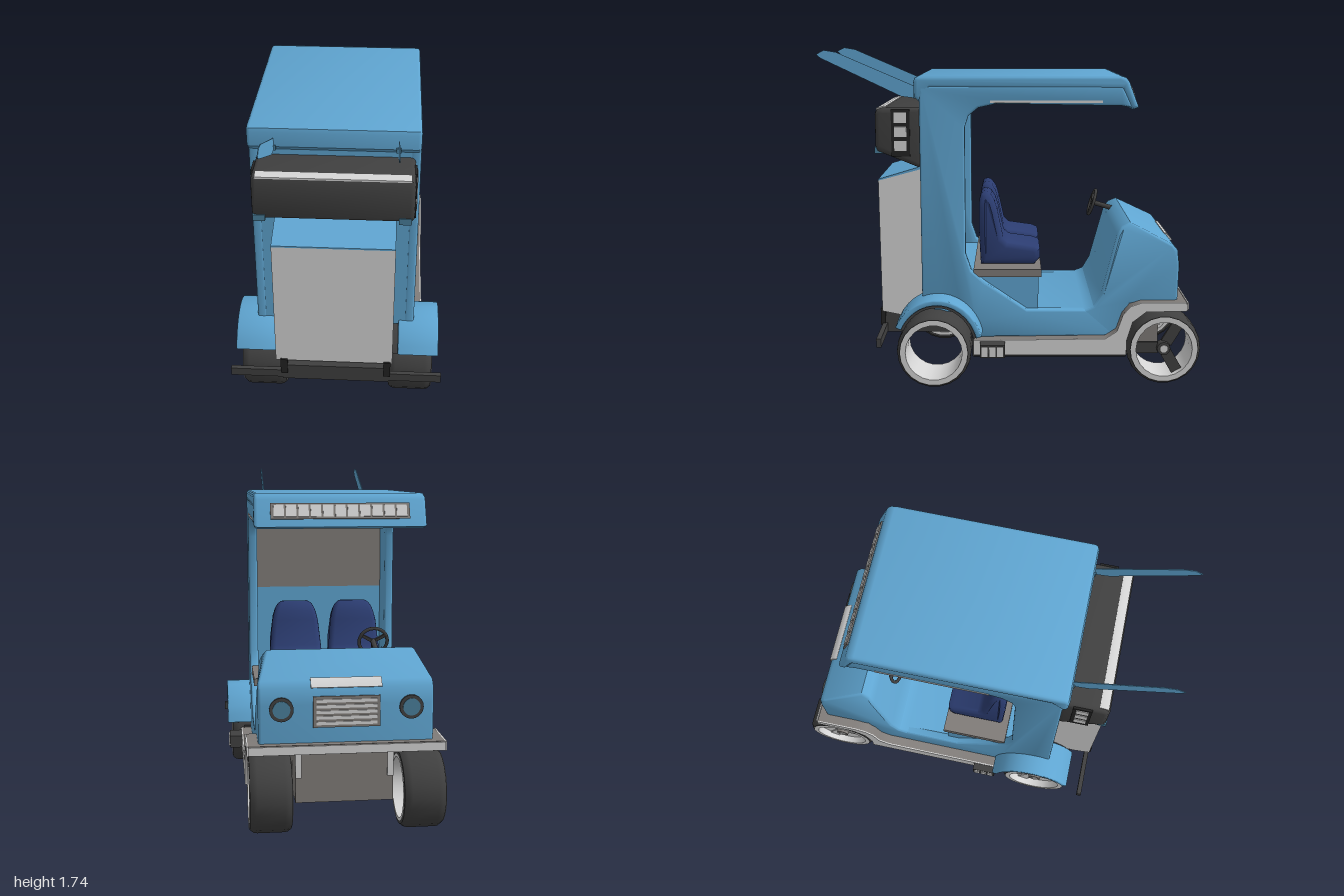
import * as THREE from 'three';
import { toCreasedNormals } from 'three/addons/utils/BufferGeometryUtils.js';

const mat = (name, color, side = THREE.FrontSide) => {
  const m = new THREE.MeshStandardMaterial({ color, side });
  m.name = name;
  return m;
};

export function createModel() {
  const blue = mat('bodyBlue', 0x5fa5d1);
  const light = mat('lightGrey', 0xd5d5d5, THREE.DoubleSide);
  const grey = mat('midGrey', 0x807c79);
  const dark = mat('darkGrey', 0x404040);
  const black = mat('undersideBlack', 0x232323);
  const navy = mat('seatNavy', 0x2b3c70);
  const lens = mat('lampLens', 0x4a7f9c);

  const model = new THREE.Group();
  model.name = 'utilityCart';
  const body = new THREE.Group();
  body.name = 'cart';
  body.position.x = -0.02;
  model.add(body);
  // the rear running gear sits slightly off the body's centre line
  const rear = new THREE.Group();
  rear.name = 'rearGear';
  rear.position.x = 0.013;
  body.add(rear);

  const add = (name, geo, material, parent = body) => {
    const m = new THREE.Mesh(geo, material);
    m.name = name;
    parent.add(m);
    return m;
  };
  // side profile of [z, y] points, extruded from x0 to x1
  const profile = (pts, x0, x1, bevel = 0, bend = null) => {
    const shape = new THREE.Shape(pts.map(p => new THREE.Vector2(p[0], p[1])));
    const geo = new THREE.ExtrudeGeometry(shape, {
      depth: x1 - x0 - 2 * bevel, bevelEnabled: bevel > 0, bevelSize: bevel,
      bevelThickness: bevel, bevelOffset: -bevel, bevelSegments: 3,
    });
    geo.translate(0, 0, bevel - (x1 - x0) / 2).rotateY(-Math.PI / 2).translate((x0 + x1) / 2, 0, 0);
    if (bend) {
      const p = geo.attributes.position;
      for (let i = 0; i < p.count; i++) p.setX(i, bend(p.getX(i), p.getY(i)));
    }
    return toCreasedNormals(geo, 0.7);
  };
  const box = (x0, x1, y0, y1, z0, z1) => new THREE.BoxGeometry(x1 - x0, y1 - y0, z1 - z0)
    .translate((x0 + x1) / 2, (y0 + y1) / 2, (z0 + z1) / 2);

  // Side panels: sill, rear pillar and roof rail in one piece
  const side = [[0.47, 0.46], [0.47, 1.57], [-0.56, 1.57], [-0.61, 1.46], [-0.56, 1.47], [0.08, 1.48],
    [0.17, 1.46], [0.22, 1.42], [0.24, 1.36], [0.24, 0.7], [0.21, 0.61], [0.14, 0.55], [-0.08, 0.4],
    [-0.4, 0.4], [-0.55, 0.26], [0.18, 0.25], [0.2, 0.33], [0.28, 0.43], [0.38, 0.47]];
  add('leftSidePanel', profile(side, 0.37, 0.42, 0.012), blue);
  add('rightSidePanel', profile(side, -0.42, -0.37, 0.012), blue);

  // Floor flowing up into dashboard and hood, narrowed towards the top
  add('hoodAndFloor', profile([[0.15, 0.25], [0.15, 0.39], [-0.38, 0.4], [-0.43, 0.42], [-0.47, 0.49],
    [-0.55, 0.8], [-0.575, 0.84], [-0.62, 0.86], [-0.84, 0.75], [-0.865, 0.72], [-0.875, 0.64],
    [-0.87, 0.43], [-0.62, 0.43], [-0.55, 0.26]], -0.42, 0.42, 0.015,
    (x, y) => x * (1 - 1.1 * Math.max(0, y - 0.75))), blue);

  // Rear wall with its inner window panel
  add('rearWall', box(-0.38, 0.38, 0.45, 1.56, 0.41, 0.468), blue);
  add('rearWindow', box(-0.37, 0.37, 1.05, 1.45, 0.403, 0.41), grey);

  // Roof
  add('roof', profile([[0.47, 1.49], [0.495, 1.515], [0.497, 1.59], [0.49, 1.61], [0.47, 1.62], [-0.55, 1.62],
    [-0.58, 1.61], [-0.595, 1.59], [-0.645, 1.46], [-0.61, 1.45], [-0.56, 1.55], [0.41, 1.56]],
    -0.425, 0.42, 0.018), blue);
  for (const s of [-1, 1]) add('roofTrim', box(s * 0.42 - 0.003, s * 0.42 + 0.003, 1.485, 1.497, -0.46, 0.11), light);

  // Slotted light bar on the roof's front edge
  const bar = new THREE.Group();
  bar.name = 'roofLightBar';
  bar.position.set(0, 1.535, -0.619);
  bar.rotation.x = 0.37;
  body.add(bar);
  add('barFrame', box(-0.34, 0.34, -0.04, 0.04, -0.004, 0.004), grey, bar);
  for (let i = 0; i < 11; i++) {
    const x = (i - 5) * 0.06;
    add('barLamp', box(x - 0.025, x + 0.025, -0.03, 0.03, -0.008, -0.003), light, bar);
  }

  // Raised thin support blades behind the roof, on small hinges
  for (const x of [-0.295, 0.31]) {
    add('rearBlade', profile([[0.49, 1.5], [0.47, 1.55], [0.9, 1.735], [0.96, 1.745], [1, 1.725],
      [0.98, 1.705], [0.57, 1.51]], x - 0.002, x + 0.002), blue);
    add('bladeHinge', box(x - 0.012, x + 0.012, 1.5, 1.525, 0.48, 0.505), lens);
  }

  // Cargo box with blue sloping lid
  add('cargoBox', profile([[0.695, 0.36], [0.7, 1.07], [0.46, 1.135], [0.46, 0.36], [0.6, 0.34]], -0.3, 0.31), light);
  add('cargoLid', profile([[0.7, 1.07], [0.7, 1.078], [0.46, 1.15], [0.46, 1.135]], -0.3, 0.31), blue);

  // Dark overhead unit with a light top edge and side lamps
  add('overheadUnit', profile([[0.69, 1.235], [0.7, 1.26], [0.7, 1.425], [0.69, 1.45], [0.66, 1.46], [0.46, 1.46],
    [0.46, 1.16], [0.48, 1.15]], -0.385, 0.395, 0.025), dark);
  add('overheadTrim', profile([[0.645, 1.457], [0.645, 1.464], [0.662, 1.464], [0.692, 1.455], [0.692, 1.446], [0.66, 1.456]],
    -0.365, 0.375), light);
  for (const s of [-1, 1]) {
    const x = 0.005 + s * 0.39;
    add('lampBezel', box(x - 0.006, x + 0.006, 1.21, 1.45, 0.52, 0.615), black);
    for (let i = 0; i < 3; i++) {
      const y = 1.265 + i * 0.072;
      add('sideLamp', box(x - 0.01, x + 0.01, y - 0.026, y + 0.026, 0.537, 0.6), light);
    }
    add('unitMarker', box(s * 0.35 - 0.03, s * 0.35 + 0.03, 1.222, 1.255, 0.66, 0.704), lens);
  }

  // Seat base, platform and two seats with rounded backs
  add('seatBase', box(-0.385, 0.385, 0.38, 0.58, -0.14, 0.41), blue);
  add('seatPlatform', box(-0.41, 0.41, 0.575, 0.615, -0.155, 0.2), grey);
  const seatTaper = (x, y) => {
    const t = Math.max(0, (y - 0.74) / 0.26);
    return x * (1 - 0.15 * t - 0.25 * t ** 5);
  };
  for (const x of [-0.165, 0.165]) {
    const seat = add('seat', profile([[0.165, 0.615], [0.175, 0.8], [0.175, 0.92], [0.172, 0.96], [0.163, 0.99],
      [0.148, 1], [0.13, 1], [0.11, 0.985], [0.09, 0.95], [0.075, 0.9], [0.045, 0.76], [0.02, 0.735],
      [-0.12, 0.715], [-0.15, 0.7], [-0.15, 0.65], [-0.12, 0.615]], -0.145, 0.145, 0.03, seatTaper), navy);
    seat.position.x = x;
  }

  // Steering wheel and column
  const steering = new THREE.Group();
  steering.name = 'steeringWheel';
  steering.position.set(-0.19, 0.865, -0.465);
  steering.rotation.x = -0.3;
  body.add(steering);
  add('wheelRim', new THREE.TorusGeometry(0.073, 0.009, 8, 24), dark, steering);
  for (let i = 0; i < 3; i++) {
    add('wheelSpoke', box(-0.008, 0.008, 0, 0.073, -0.006, 0.006), dark, steering).rotation.z = i * Math.PI * 2 / 3 + Math.PI;
  }
  add('column', new THREE.CylinderGeometry(0.014, 0.014, 0.13, 10).rotateX(Math.PI / 2).translate(0, 0, -0.06), dark, steering);

  // Front face: grille, headlamps and hood trim
  add('grillePanel', box(-0.16, 0.16, 0.53, 0.68, -0.88, -0.872), grey);
  for (let i = 0; i < 5; i++) add('grilleSlat', box(-0.145, 0.145, 0.543 + i * 0.027, 0.558 + i * 0.027, -0.885, -0.88), light);
  add('hoodTrim', profile([[-0.83, 0.752], [-0.83, 0.761], [-0.848, 0.754], [-0.875, 0.722], [-0.866, 0.718], [-0.84, 0.745]],
    -0.17, 0.17), light);
  for (const s of [-1, 1]) {
    const disc = (r, d) => new THREE.CylinderGeometry(r, r, d, 20).rotateX(Math.PI / 2).translate(s * 0.31, 0.62, -0.873);
    add('headlampRim', disc(0.058, 0.02), dark);
    add('headlampLens', disc(0.042, 0.026), lens);
  }

  // Skirt arching over the front wheels into the front bumper
  const skirt = [[0.2, 0.17], [0.2, 0.25], [-0.49, 0.26], [-0.55, 0.3], [-0.58, 0.39], [-0.62, 0.435],
    [-0.68, 0.455], [-0.91, 0.455], [-0.915, 0.41], [-0.7, 0.405], [-0.63, 0.35], [-0.6, 0.25], [-0.6, 0.17]];
  add('skirt', profile(skirt, -0.47, 0.47), grey);
  for (const s of [-1, 1]) add('skirtSide', profile(skirt, s * 0.473 - 0.004, s * 0.473 + 0.004), light);
  add('bumperFace', box(-0.47, 0.47, 0.412, 0.453, -0.921, -0.914), light);
  add('floorPan', box(-0.46, 0.46, 0.158, 0.172, -0.6, 0.2), black);
  add('floorEnd', box(-0.46, 0.46, 0.16, 0.26, 0.198, 0.206), dark);
  add('frontPanel', box(-0.24, 0.24, 0.135, 0.42, -0.8, -0.61), grey);
  add('frontPanelBack', box(-0.24, 0.24, 0.135, 0.42, -0.611, -0.604), dark);
  for (const s of [-1, 1]) add('frontPanelTrim', box(s * 0.225 - 0.015, s * 0.225 + 0.015, 0.26, 0.42, -0.808, -0.8), light);

  // Rear chassis and long bumper bar
  add('rearChassis', profile([[0.2, 0.24], [0.7, 0.24], [0.7, 0.33], [0.58, 0.41], [0.45, 0.45], [0.2, 0.35]],
    -0.28, 0.28), dark, rear);
  add('rearBar', box(-0.555, 0.555, 0.245, 0.29, 0.67, 0.695), dark, rear);
  for (const s of [-1, 1]) add('barBracket', box(s * 0.27 - 0.018, s * 0.27 + 0.018, 0.28, 0.37, 0.68, 0.706), black, rear);

  // Arched rear fenders with dark liners, and lamp pods ahead of them
  const arch = (o, i) => {
    const at = (a, d) => [0.385 + (0.24 - d) * Math.cos(a), 0.22 + (0.27 - d) * Math.sin(a)];
    const angles = Array.from({ length: 15 }, (_, k) => (27 + k * 9.8) * Math.PI / 180);
    return [...angles.map(a => at(a, o)), ...angles.reverse().map(a => at(a, i))];
  };
  for (const s of [-1, 1]) {
    const span = (a, b) => s > 0 ? [a, b] : [-b, -a];
    add('rearFender', profile(arch(0, 0.03), ...span(0.325, 0.54), 0.008), blue, rear);
    add('fenderLiner', profile(arch(0.03, 0.045), ...span(0.27, 0.525)), dark, rear);
    add('podHousing', box(...span(0.46, 0.53), 0.178, 0.245, 0.035, 0.165), dark, rear);
    for (let i = 0; i < 3; i++) {
      const z = 0.06 + i * 0.04;
      add('podLamp', box(...span(0.53, 0.536), 0.187, 0.237, z - 0.016, z + 0.016), light, rear);
    }
  }

  // Wheels: dark tyre and light open rim; fitting is 'open', 'spokes' or 'disc'
  const wheel = (name, s, x, z, w, fitting, parent) => {
    const g = new THREE.Group();
    g.name = name;
    g.position.set(s * x, 0.198, z);
    g.rotation.z = -s * Math.PI / 2;
    parent.add(g);
    const h = w / 2;
    const ring = pts => toCreasedNormals(new THREE.LatheGeometry(pts.map(p => new THREE.Vector2(...p)), 22), 0.6);
    add('tyre', ring([[0.155, -h], [0.178, -h], [0.192, -h + 0.018], [0.195, -h + 0.035], [0.195, h - 0.035],
      [0.192, h - 0.018], [0.178, h], [0.155, h], [0.155, -h]]), dark, g);
    add('rim', ring([[0.165, -h - 0.003], [0.148, -h - 0.003], [0.145, 0], [0.148, h + 0.003], [0.176, h + 0.003]]), light, g);
    if (fitting === 'open') return;
    const spokes = fitting === 'spokes';
    if (!spokes) add('wheelDisc', new THREE.CylinderGeometry(0.146, 0.146, 0.01, 22).translate(0, h * 0.6, 0), light, g);
    add('hub', new THREE.CylinderGeometry(0.035, 0.04, 0.04, 12).translate(0, h * 0.7, 0), spokes ? dark : grey, g);
    add('hubCap', new THREE.CylinderGeometry(0.02, 0.02, 0.05, 12).translate(0, h * 0.7, 0), light, g);
    for (let i = 0; i < 3; i++) {
      add('spoke', box(-0.03, 0.03, h * 0.55, h * 0.72, 0.03, 0.144), spokes ? dark : light, g).rotation.y = i * Math.PI * 2 / 3;
    }
  };
  wheel('leftFrontWheel', 1, 0.365, -0.8, 0.2, 'spokes', body);
  wheel('rightFrontWheel', -1, 0.365, -0.8, 0.2, 'disc', body);
  wheel('leftRearWheel', 1, 0.395, 0.405, 0.23, 'open', rear);
  wheel('rightRearWheel', -1, 0.395, 0.405, 0.23, 'disc', rear);
  return model;
}
